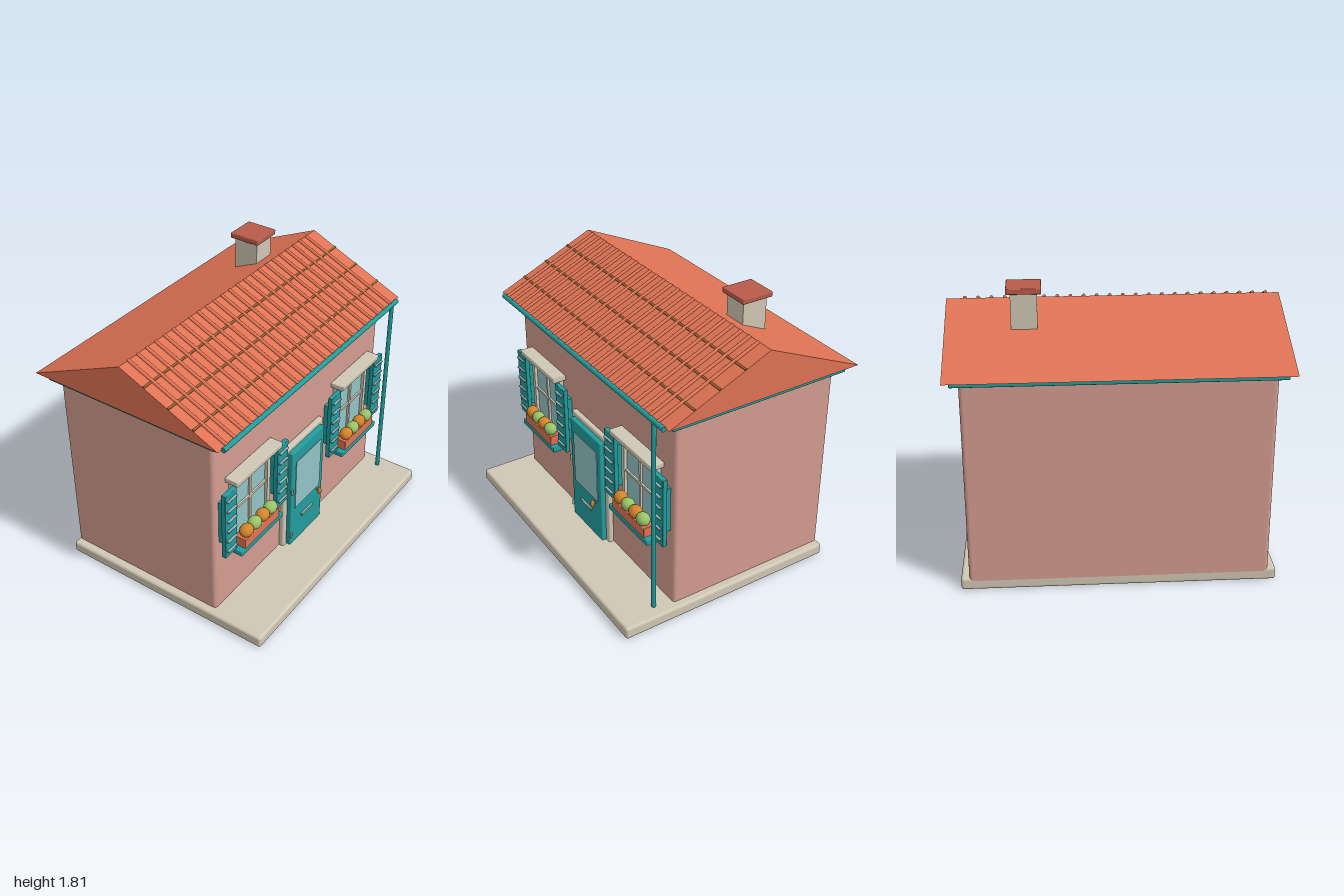
import * as THREE from 'three';
import { RoundedBoxGeometry } from 'three/addons/geometries/RoundedBoxGeometry.js';

const mat = (name, color) => Object.assign(new THREE.MeshStandardMaterial({ color }), { name });
const M = {
  wall: mat('pink plaster', 0xd39c90),
  stone: mat('pale stone', 0xd0c7b4),
  teal: mat('teal paint', 0x229c9c),
  roof: mat('coral roof', 0xdf7354),
  cap: mat('brick red', 0xb95b49),
  glass: mat('window glass', 0x93c3c6),
  orange: mat('orange bloom', 0xd4842c),
  green: mat('green bloom', 0x98c468),
  metal: mat('grey metal', 0x8fb0b0),
  brown: mat('brown batten', 0x96602f),
};

function add(parent, name, geometry, material, x = 0, y = 0, z = 0) {
  const mesh = new THREE.Mesh(geometry, material);
  mesh.name = name;
  mesh.position.set(x, y, z);
  parent.add(mesh);
  return mesh;
}

// Box given by its limits on each axis, with optional rounded edges
function box(parent, name, material, [x0, x1], [y0, y1], [z0, z1], r = 0) {
  const w = x1 - x0, h = y1 - y0, d = z1 - z0;
  const g = r ? new RoundedBoxGeometry(w, h, d, 3, r) : new THREE.BoxGeometry(w, h, d);
  return add(parent, name, g, material, (x0 + x1) / 2, (y0 + y1) / 2, (z0 + z1) / 2);
}

function group(parent, name, x = 0, y = 0, z = 0) {
  const g = new THREE.Group();
  g.name = name;
  g.position.set(x, y, z);
  parent.add(g);
  return g;
}

// Rectangular frame with an opening, standing on the wall face
function frame(parent, name, material, [x0, x1], [y0, y1], border, depth, z) {
  const rect = (S, a, b, c, d) => new S().moveTo(a, c).lineTo(b, c).lineTo(b, d).lineTo(a, d).closePath();
  const s = rect(THREE.Shape, x0, x1, y0, y1);
  s.holes.push(rect(THREE.Path, x0 + border, x1 - border, y0 + border, y1 - border));
  return add(parent, name, new THREE.ExtrudeGeometry(s, { depth, bevelEnabled: false }), material, 0, 0, z);
}

function buildRoof(house) {
  const roof = group(house, 'roof');
  const eave = 1.385, ridge = 1.68, ridgeZ = -0.13, half = 0.66;
  const gable = new THREE.Shape().moveTo(-0.53, eave).lineTo(0.79, eave).lineTo(-ridgeZ, ridge).closePath();
  const prism = new THREE.ExtrudeGeometry(gable, { depth: 2, bevelEnabled: false });
  prism.rotateY(Math.PI / 2).translate(-1, 0, 0);
  add(roof, 'roofBody', prism, M.roof);

  // Tile ribs and cross battens lie in the plane of the front slope
  const slope = group(roof, 'frontTiles', 0, (eave + ridge) / 2, ridgeZ + half / 2);
  slope.rotation.x = Math.atan2(ridge - eave, half);
  const length = Math.hypot(half, ridge - eave);
  const rib = new THREE.CylinderGeometry(0.011, 0.011, length, 10).rotateX(Math.PI / 2);
  for (let i = 0; i < 24; i++) add(slope, 'tileRib', rib, M.roof, -0.92 + i * 0.0787, 0.003, 0);
  for (const t of [-0.25, 0, 0.25])
    box(slope, 'batten', M.brown, [-0.998, 0.998], [-0.005, 0.006], [t * length - 0.007, t * length + 0.007]);

  // Eaves trim, gutter and downpipe
  box(roof, 'eavesTrim', M.teal, [-0.965, 0.965], [1.34, 1.388], [-0.73, 0.48], 0.008);
  add(roof, 'gutter', new THREE.CylinderGeometry(0.016, 0.016, 1.92, 12).rotateZ(Math.PI / 2), M.teal, 0, 1.378, 0.536);
  add(roof, 'downpipe', new THREE.CylinderGeometry(0.014, 0.014, 1.3, 12), M.teal, 0.875, 0.73, 0.547);

  // Chimney
  box(roof, 'chimneyStack', M.stone, [0.46, 0.615], [1.42, 1.785], [-0.39, -0.225]);
  box(roof, 'chimneyCap', M.cap, [0.435, 0.64], [1.778, 1.812], [-0.412, -0.203], 0.006);
}

function buildShutter(parent, x) {
  const s = group(parent, 'shutter', x);
  box(s, 'shutterPanel', M.teal, [-0.057, 0.057], [0.52, 0.99], [0.47, 0.5], 0.004);
  for (let i = 0; i < 6; i++)
    box(s, 'shutterSlat', M.metal, [-0.045, 0.045], [0.562 + i * 0.075, 0.573 + i * 0.075], [0.497, 0.514], 0.004);
  // Hidden fixing between the panel and the wall
  box(s, 'shutterMount', M.teal, [-0.03, 0.03], [0.6, 0.9], [0.425, 0.472]);
}

function buildWindow(house, x) {
  const w = group(house, 'window', x);
  frame(w, 'windowFrame', M.stone, [-0.195, 0.195], [0.51, 1.005], 0.031, 0.03, 0.428);
  box(w, 'windowGlass', M.glass, [-0.166, 0.166], [0.538, 0.975], [0.431, 0.438]);
  box(w, 'verticalBar', M.stone, [-0.009, 0.009], [0.538, 0.975], [0.434, 0.452]);
  box(w, 'horizontalBar', M.stone, [-0.166, 0.166], [0.749, 0.765], [0.434, 0.45]);
  box(w, 'lintel', M.stone, [-0.231, 0.231], [1.003, 1.039], [0.43, 0.52], 0.006);
  box(w, 'sill', M.teal, [-0.218, 0.218], [0.473, 0.511], [0.43, 0.54], 0.006);
  for (const side of [-1, 1]) buildShutter(w, side * 0.267);

  // Flower box
  box(w, 'planter', M.roof, [-0.18, 0.18], [0.508, 0.577], [0.46, 0.538], 0.004);
  const bloom = new THREE.SphereGeometry(1, 20, 14).scale(0.048, 0.041, 0.042);
  for (let i = 0; i < 4; i++)
    add(w, 'bloom', bloom, i % 2 ? M.green : M.orange, -0.126 + i * 0.084, 0.604, 0.508);
}

function buildDoor(house) {
  const d = group(house, 'door');
  box(d, 'doorFrame', M.stone, [-0.222, 0.218], [0.07, 0.86], [0.425, 0.463], 0.012);
  box(d, 'doorPanel', M.teal, [-0.187, 0.182], [0.08, 0.83], [0.455, 0.495], 0.008);
  box(d, 'doorGlass', M.glass, [-0.145, 0.143], [0.37, 0.745], [0.492, 0.499]);
  box(d, 'mailSlot', M.metal, [-0.069, 0.065], [0.254, 0.271], [0.493, 0.508], 0.004);
  for (const y of [0.17, 0.53])
    add(d, 'hinge', new THREE.CylinderGeometry(0.008, 0.008, 0.04, 10), M.metal, -0.185, y, 0.499);
  add(d, 'doorHandle', new THREE.SphereGeometry(1, 16, 12).scale(0.012, 0.028, 0.014), M.orange, 0.115, 0.348, 0.52);
  add(d, 'handleStem', new THREE.CylinderGeometry(0.005, 0.005, 0.03, 8).rotateX(Math.PI / 2), M.orange, 0.115, 0.348, 0.505);
}

export function createModel() {
  const house = new THREE.Group();
  house.name = 'cottage';
  box(house, 'baseSlab', M.stone, [-0.965, 0.965], [0, 0.08], [-0.68, 0.79], 0.018);
  box(house, 'walls', M.wall, [-0.915, 0.915], [0.03, 1.365], [-0.68, 0.43], 0.025);
  buildRoof(house);
  for (const side of [-1, 1]) buildWindow(house, side * 0.575);
  buildDoor(house);
  return house;
}
